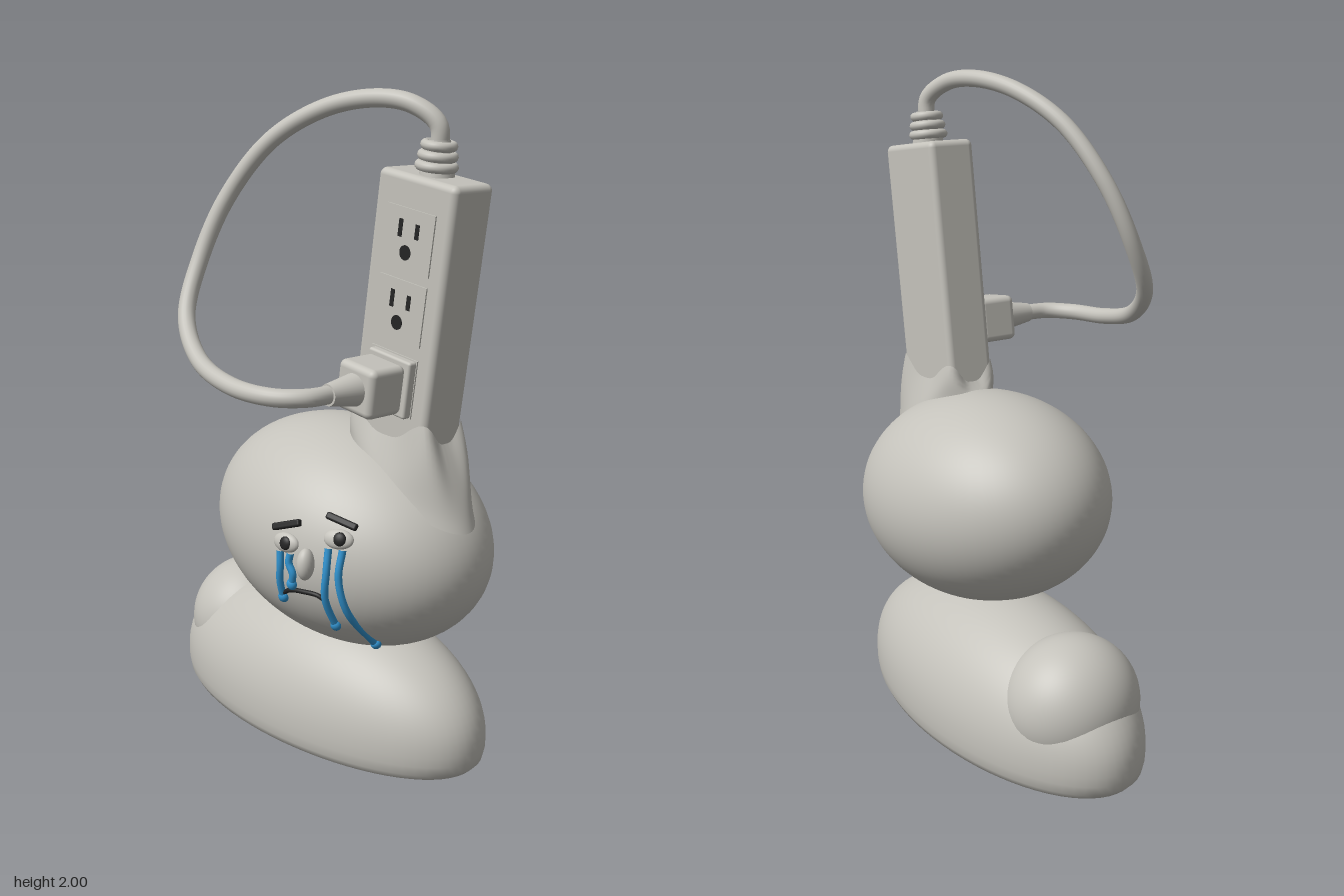
import * as THREE from 'three';
import { toCreasedNormals } from 'three/addons/utils/BufferGeometryUtils.js';
import { RoundedBoxGeometry } from 'three/addons/geometries/RoundedBoxGeometry.js';

const V = (x, y, z) => new THREE.Vector3(x, y, z);
const lerp = THREE.MathUtils.lerp;

function material(name, color) {
  const m = new THREE.MeshStandardMaterial({ color });
  m.name = name;
  return m;
}

function add(parent, name, geometry, mat, position = [0, 0, 0], scale = [1, 1, 1]) {
  const mesh = new THREE.Mesh(geometry, mat);
  mesh.name = name;
  mesh.position.set(...position);
  mesh.scale.set(...scale);
  parent.add(mesh);
  return mesh;
}

// Tilted ellipsoid of the body
const CENTRE = V(0.163, 0.682, -0.077), RADII = V(0.487, 0.336, 0.362), TILT = -0.15;
const AXIS = V(0, 0, 1);

// Point and outward normal on the front of the body at (x, y)
function onBody(x, y, lift = 0) {
  const p = V(x - CENTRE.x, y - CENTRE.y, 0).applyAxisAngle(AXIS, -TILT);
  const rest = 1 - (p.x / RADII.x) ** 2 - (p.y / RADII.y) ** 2;
  p.z = RADII.z * Math.sqrt(Math.max(0, rest));
  const normal = p.clone().divide(RADII).divide(RADII).normalize().applyAxisAngle(AXIS, TILT);
  const point = p.applyAxisAngle(AXIS, TILT).add(CENTRE).addScaledVector(normal, lift);
  return { point, normal };
}

// Foot: elliptical dome with rounded lower rim and flat sole
function footGeometry() {
  const pts = [V(0, 0, 0), V(0.955, 0, 0), V(0.985, 0.02, 0), V(0.998, 0.05, 0)];
  for (let i = 0; i <= 24; i++) {
    const a = (i / 24) * Math.PI / 2;
    pts.push(V(i === 24 ? 0 : Math.cos(a), 0.08 + 0.335 * Math.sin(a) ** 0.95, 0));
  }
  return toCreasedNormals(new THREE.LatheGeometry(pts, 72), 0.6);
}

// Collar: sloping oval base blending to a rectangle with raised corners
function collarGeometry() {
  const g = new THREE.CylinderGeometry(1, 1, 1, 72, 12, true);
  const pos = g.attributes.position;
  for (let i = 0; i < pos.count; i++) {
    const a = Math.atan2(pos.getZ(i), pos.getX(i)), t = pos.getY(i) + 0.5;
    const c = Math.cos(a), s = Math.sin(a), p = lerp(2, 7, t * t);
    const r = (Math.abs(c) ** p + Math.abs(s) ** p) ** (-1 / p);
    const x = lerp(0.408, 0.386, t) + c * r * lerp(0.23, 0.157, t);
    const z = -0.077 + s * r * lerp(0.128, 0.084, t);
    const low = 0.885 - 0.47 * (x - 0.405);
    const high = 1.03 + 0.06 * Math.sin(2 * a) ** 4 - 0.06 * (x - 0.386);
    pos.setXYZ(i, x, lerp(low, high, t), z);
  }
  return toCreasedNormals(g, 1);
}

export function createModel() {
  const model = new THREE.Group();
  model.name = 'cryingPowerStripFigure';
  const grey = material('warm grey', 0xc4c2bb);
  const black = material('soft black', 0x242424);
  const blue = material('tear blue', 0x3295d2);
  const ball = new THREE.SphereGeometry(1, 64, 48);
  const smallBall = new THREE.SphereGeometry(1, 24, 16);

  // Foot, toe bump and body
  add(model, 'foot', footGeometry(), grey, [0, 0, -0.12], [0.645, 1, 0.3]);
  add(model, 'toe', ball, grey, [-0.395, 0.206, -0.125], [0.195, 0.202, 0.21]);
  const body = add(model, 'body', ball, grey, CENTRE.toArray(), RADII.toArray());
  body.rotation.z = TILT;
  add(model, 'collar', collarGeometry(), grey);

  // Leaning power strip; its front face is at local z = 0.0775
  const strip = new THREE.Group();
  strip.name = 'powerStrip';
  strip.position.set(0.416, 1.3, -0.077);
  strip.rotation.z = -0.14;
  model.add(strip);
  add(strip, 'stripBody', new RoundedBoxGeometry(0.298, 0.95, 0.155, 4, 0.02), grey);
  const hole = new THREE.CylinderGeometry(0.021, 0.021, 0.004, 24).rotateX(Math.PI / 2);
  for (const y of [0.3, 0.1, -0.11]) {
    add(strip, 'outletPlate', new THREE.BoxGeometry(0.185, 0.172, 0.006), grey, [0, y, 0.079]);
    add(strip, 'slot', new THREE.BoxGeometry(0.015, 0.05, 0.004), black, [-0.032, y + 0.028, 0.0815]);
    add(strip, 'slot', new THREE.BoxGeometry(0.015, 0.042, 0.004), black, [0.032, y + 0.028, 0.0815]);
    add(strip, 'groundHole', hole, black, [-0.004, y - 0.037, 0.0815]);
  }

  // Plug in the lowest outlet
  const plug = new THREE.Group();
  plug.name = 'plug';
  plug.position.set(0.008, -0.11, 0);
  strip.add(plug);
  add(plug, 'plugFlange', new RoundedBoxGeometry(0.168, 0.168, 0.03, 3, 0.008), grey, [0, 0, 0.094]);
  add(plug, 'plugBody', new RoundedBoxGeometry(0.145, 0.145, 0.13, 4, 0.02), grey, [0, 0, 0.17]);
  add(plug, 'plugNeck', new THREE.CylinderGeometry(0.031, 0.048, 0.1, 32).rotateX(Math.PI / 2),
    grey, [0, 0, 0.28]);

  // Ribbed strain relief on top of the strip
  add(model, 'reliefCore', new THREE.CylinderGeometry(0.036, 0.05, 0.1, 32), grey, [0.486, 1.815, -0.075]);
  [0.047, 0.043, 0.038].forEach((r, i) => {
    const ring = new THREE.TorusGeometry(r, 0.014, 12, 40).rotateX(Math.PI / 2);
    add(model, 'reliefRing', ring, grey, [0.484 + i * 0.004, 1.795 + i * 0.028, -0.075]).rotation.z = -0.14;
  });

  // Cable looping from the strip's top round to the plug
  const cablePath = new THREE.CatmullRomCurve3([
    V(0.493, 1.83, -0.075), V(0.493, 1.905, -0.07), V(0.43, 1.957, -0.04), V(0.325, 1.974, -0.005),
    V(0.167, 1.945, 0.05), V(0.01, 1.85, 0.12), V(-0.11, 1.68, 0.19), V(-0.152, 1.5, 0.26),
    V(-0.12, 1.35, 0.335), V(0.01, 1.245, 0.39), V(0.18, 1.2, 0.41), V(0.33, 1.19, 0.385),
    V(0.398, 1.19, 0.32), V(0.408, 1.19, 0.22)]);
  add(model, 'cable', new THREE.TubeGeometry(cablePath, 160, 0.026, 20), grey);

  // Face parts lie on the body, turned to its normal
  const face = new THREE.Group();
  face.name = 'face';
  model.add(face);
  function place(name, geometry, mat, x, y, lift, scale, roll = 0) {
    const { point, normal } = onBody(x, y, lift);
    const mesh = add(face, name, geometry, mat, point.toArray(), scale);
    mesh.lookAt(point.clone().add(normal));
    mesh.rotateZ(roll);
  }
  const brow = new RoundedBoxGeometry(0.098, 0.021, 0.02, 3, 0.006);
  for (const [x, y, browX, browY, roll] of [
    [0.257, 0.73, 0.252, 0.779, 0.33], [0.413, 0.767, 0.407, 0.812, -0.29]]) {
    place('eye', smallBall, grey, x, y, 0, [0.045, 0.029, 0.018]);
    place('pupil', smallBall, black, x + 0.006, y, 0.012, [0.02, 0.02, 0.01]);
    place('brow', brow, black, browX, browY, 0.008, [1, 1, 1], roll);
  }
  place('nose', smallBall, grey, 0.336, 0.685, 0.012, [0.025, 0.047, 0.03]);

  // Mouth and tears are tubes following the body surface
  function strand(name, mat, points, radius, lift) {
    const path = new THREE.CatmullRomCurve3(points.map(([x, y]) => onBody(x, y, lift).point));
    add(face, name, new THREE.TubeGeometry(path, 32, radius, 10), mat);
  }
  strand('mouth', black, [[0.24, 0.572], [0.268, 0.587], [0.32, 0.594], [0.365, 0.592], [0.388, 0.572]], 0.007, 0.004);
  const tears = [
    [[0.243, 0.705], [0.243, 0.66], [0.235, 0.61], [0.23, 0.555]],
    [[0.28, 0.705], [0.276, 0.675], [0.288, 0.645], [0.28, 0.61]],
    [[0.394, 0.74], [0.396, 0.67], [0.385, 0.59], [0.382, 0.495]],
    [[0.432, 0.74], [0.43, 0.66], [0.438, 0.56], [0.437, 0.425]]];
  for (const points of tears) {
    strand('tear', blue, points, 0.011, 0.006);
    place('tearDrop', smallBall, blue, ...points[3], 0.006, [0.016, 0.018, 0.014]);
  }
  return model;
}
